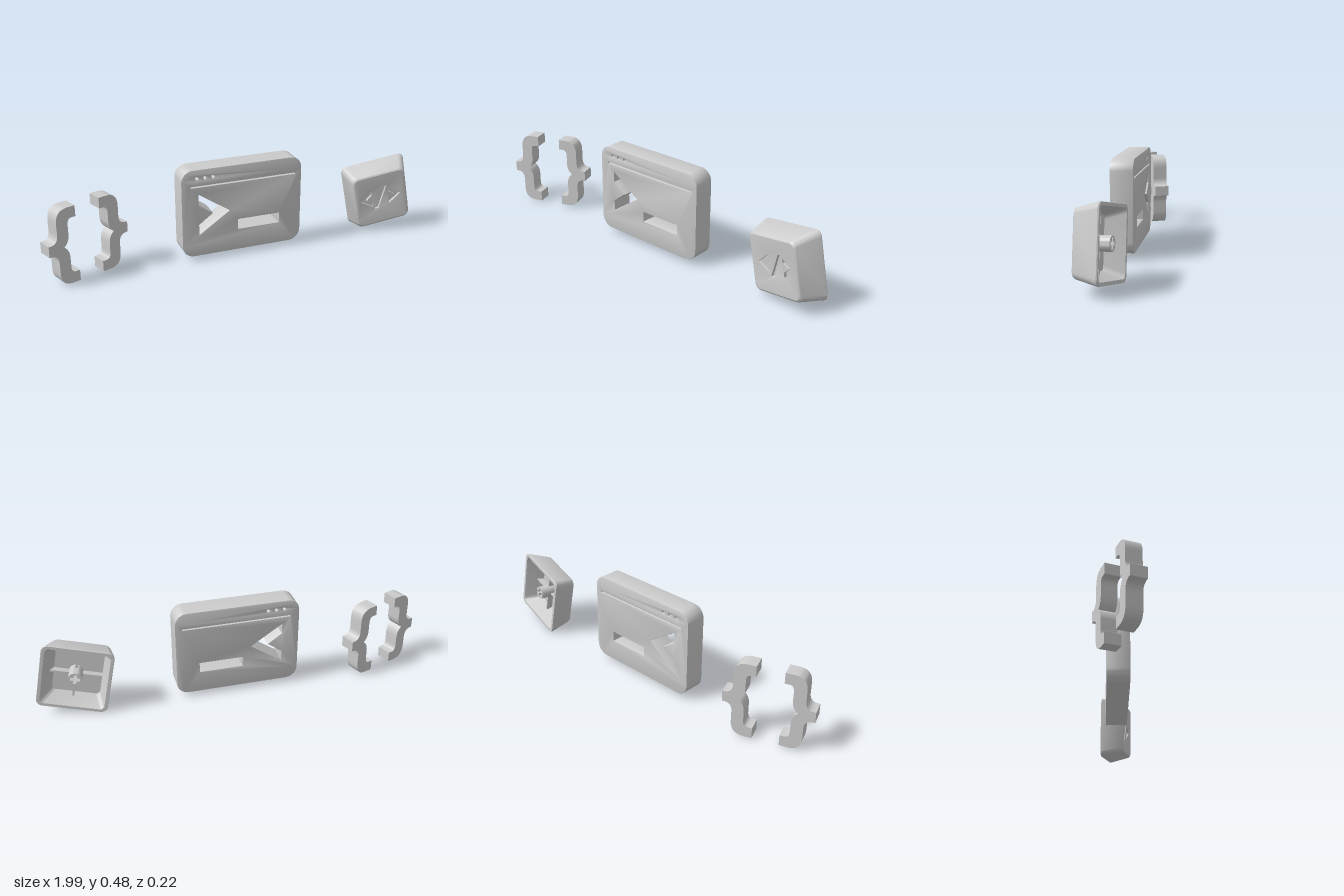
import * as THREE from 'three';
import { toCreasedNormals } from 'three/addons/utils/BufferGeometryUtils.js';

const grey = new THREE.MeshStandardMaterial({ color: 0xcccccc });
grey.name = 'light grey';

const V = (x, y) => new THREE.Vector2(x, y);
const poly = (pts) => new THREE.Shape(pts.map(([x, y]) => V(x, y)));
const rectangle = (x0, y0, x1, y1) => poly([[x0, y0], [x1, y0], [x1, y1], [x0, y1]]);

function mesh(name, geometry, parent) {
  const m = new THREE.Mesh(toCreasedNormals(geometry, 0.6), grey);
  m.name = name;
  parent.add(m);
  return m;
}

// Counter-clockwise rounded rectangle
function roundRect(w, h, r, n = 8, cx = 0, cy = 0) {
  const pts = [];
  [[1, 1], [-1, 1], [-1, -1], [1, -1]].forEach(([sx, sy], k) => {
    for (let i = 0; i <= n; i++) {
      const a = (k + i / n) * Math.PI / 2;
      pts.push(V(cx + sx * (w / 2 - r) + r * Math.cos(a), cy + sy * (h / 2 - r) + r * Math.sin(a)));
    }
  });
  return pts;
}

// Joins closed rings of [points, z] into one skin
function loft(rings) {
  const n = rings[0][0].length, pos = [], idx = [];
  for (const [pts, z] of rings) for (const p of pts) pos.push(p.x, p.y, typeof z === 'function' ? z(p.x, p.y) : z);
  for (let i = 0; i < rings.length - 1; i++) {
    for (let j = 0; j < n; j++) {
      const a = i * n + j, b = i * n + (j + 1) % n;
      idx.push(a, b, b + n, a, b + n, a + n);
    }
  }
  const g = new THREE.BufferGeometry();
  g.setAttribute('position', new THREE.Float32BufferAttribute(pos, 3));
  g.setIndex(idx);
  return g;
}

// Terminal window: slab with cut-through dots, divider, prompt and cursor
function terminalWindow() {
  const group = new THREE.Group();
  group.name = 'terminalWindow';
  const s = new THREE.Shape(roundRect(0.628, 0.453, 0.06, 10, -0.014, 0.264));
  for (const x of [-0.249, -0.208, -0.167]) {
    s.holes.push(new THREE.Path().absarc(x, 0.446, 0.008, 0, Math.PI * 2, true));
  }
  s.holes.push(rectangle(-0.281, 0.4, 0.265, 0.406));
  s.holes.push(poly([[-0.241, 0.362], [-0.083, 0.257], [-0.241, 0.15], [-0.241, 0.203], [-0.168, 0.257], [-0.241, 0.308]]));
  s.holes.push(rectangle(-0.038, 0.149, 0.182, 0.201));
  const g = new THREE.ExtrudeGeometry(s, {
    depth: 0.104, bevelThickness: 0.003, bevelSize: 0.003, bevelOffset: -0.003, bevelSegments: 2, curveSegments: 10,
  });
  g.translate(0, 0, -0.052);
  mesh('windowSlab', g, group);
  return group;
}

// One curly brace; s = 1 points left, s = -1 points right
function braceGeometry(s) {
  const p = new THREE.Shape();
  const L = (x, y) => p.lineTo(s * x, y);
  const Q = (a, b, x, y) => p.quadraticCurveTo(s * a, b, s * x, y);
  p.moveTo(s * -0.075, 0.027);
  L(-0.062, 0.027);
  Q(-0.027, 0.03, -0.027, 0.07);
  L(-0.027, 0.125);
  Q(-0.027, 0.192, 0.035, 0.192);
  L(0.075, 0.192);
  L(0.075, 0.138);
  L(0.055, 0.138);
  Q(0.031, 0.138, 0.031, 0.108);
  L(0.031, 0.06);
  Q(0.031, 0.02, 0.004, 0);
  Q(0.031, -0.02, 0.031, -0.06);
  L(0.031, -0.108);
  Q(0.031, -0.138, 0.055, -0.138);
  L(0.075, -0.138);
  L(0.075, -0.192);
  L(0.035, -0.192);
  Q(-0.027, -0.192, -0.027, -0.125);
  L(-0.027, -0.07);
  Q(-0.027, -0.03, -0.062, -0.027);
  L(-0.075, -0.027);
  const g = new THREE.ExtrudeGeometry(p, { depth: 0.076, bevelEnabled: false, curveSegments: 10 });
  return g.translate(0, 0, -0.038);
}

function braces() {
  const group = new THREE.Group();
  group.name = 'curlyBraces';
  for (const s of [1, -1]) {
    mesh(s > 0 ? 'openingBrace' : 'closingBrace', braceGeometry(s), group).position.x = -0.139 * s;
  }
  group.position.set(-0.787, 0.208, -0.009);
  group.rotation.y = 0.36;
  return group;
}

// Hollow keycap with a dished, engraved face
function keycap() {
  const group = new THREE.Group();
  group.name = 'keycap';
  const top = 0.128, shift = -0.01;
  const dish = (x, y) => -0.014 * (1 - Math.min(1, ((x - shift) ** 2 + y * y) / 0.03));
  const face = roundRect(0.265, 0.268, 0.025, 8, shift, 0);

  // Shell from inner ceiling, round the rim and up to the face edge
  mesh('keycapShell', loft([
    [roundRect(0.002, 0.002, 0.0005, 8, shift), 0.09],
    [roundRect(0.235, 0.238, 0.02, 8, shift), 0.09],
    [roundRect(0.312, 0.302, 0.022), 0],
    [roundRect(0.342, 0.331, 0.03), 0],
    [roundRect(0.346, 0.335, 0.03), 0.005],
    [roundRect(0.287, 0.29, 0.032, 8, shift), (x, y) => top - 0.012 + dish(x, y) * 0.6],
    [roundRect(0.279, 0.282, 0.03, 8, shift), (x, y) => top - 0.004 + dish(x, y) * 0.9],
    [face, (x, y) => top + dish(x, y)],
  ]), group);

  // Dished face with angle-bracket and slash grooves
  const plate = new THREE.Shape(face);
  for (const s of [1, -1]) {
    plate.holes.push(poly([[-0.108, 0], [-0.045, 0.046], [-0.045, 0.024], [-0.076, 0], [-0.045, -0.024], [-0.045, -0.046]]
      .map(([x, y]) => [s * x + shift, y])));
  }
  plate.holes.push(poly([[0.02, 0.059], [0.04, 0.059], [-0.018, -0.059], [-0.038, -0.059]].map(([x, y]) => [x + shift, y])));
  const bend = (g, z) => {
    const p = g.attributes.position;
    for (let i = 0; i < p.count; i++) p.setZ(i, p.getZ(i) + z + dish(p.getX(i), p.getY(i)));
    return g;
  };
  mesh('keycapFace', bend(new THREE.ExtrudeGeometry(plate, { depth: 0.014, bevelEnabled: false }), top - 0.014), group);
  mesh('grooveFloor', new THREE.ShapeGeometry(new THREE.Shape(roundRect(0.25, 0.15, 0.01, 2, shift)))
    .translate(0, 0, top - 0.028), group);

  // Mounting stem with cross-shaped socket
  const stem = new THREE.Shape().absarc(0, 0, 0.034, 0, Math.PI * 2, false);
  const a = 0.024, b = 0.008;
  stem.holes.push(poly([[a, b], [b, b], [b, a], [-b, a], [-b, b], [-a, b], [-a, -b], [-b, -b], [-b, -a], [b, -a], [b, -b], [a, -b]]));
  mesh('stem', new THREE.ExtrudeGeometry(stem, { depth: 0.088, bevelEnabled: false, curveSegments: 16 })
    .translate(0, 0, 0.004), group);

  // Stiffening ribs between stem and walls
  for (let i = 0; i < 4; i++) {
    const rib = mesh('rib', new THREE.BoxGeometry(0.095, 0.01, 0.035).translate(0.079, 0, 0.075), group);
    rib.rotation.z = i * Math.PI / 2;
  }
  group.position.set(0.794, 0.206, -0.05);
  group.rotation.set(0.04, -0.175, 0.205);
  return group;
}

export function createModel() {
  const model = new THREE.Group();
  model.name = 'codingSymbols';
  model.add(braces(), terminalWindow(), keycap());
  return model;
}
